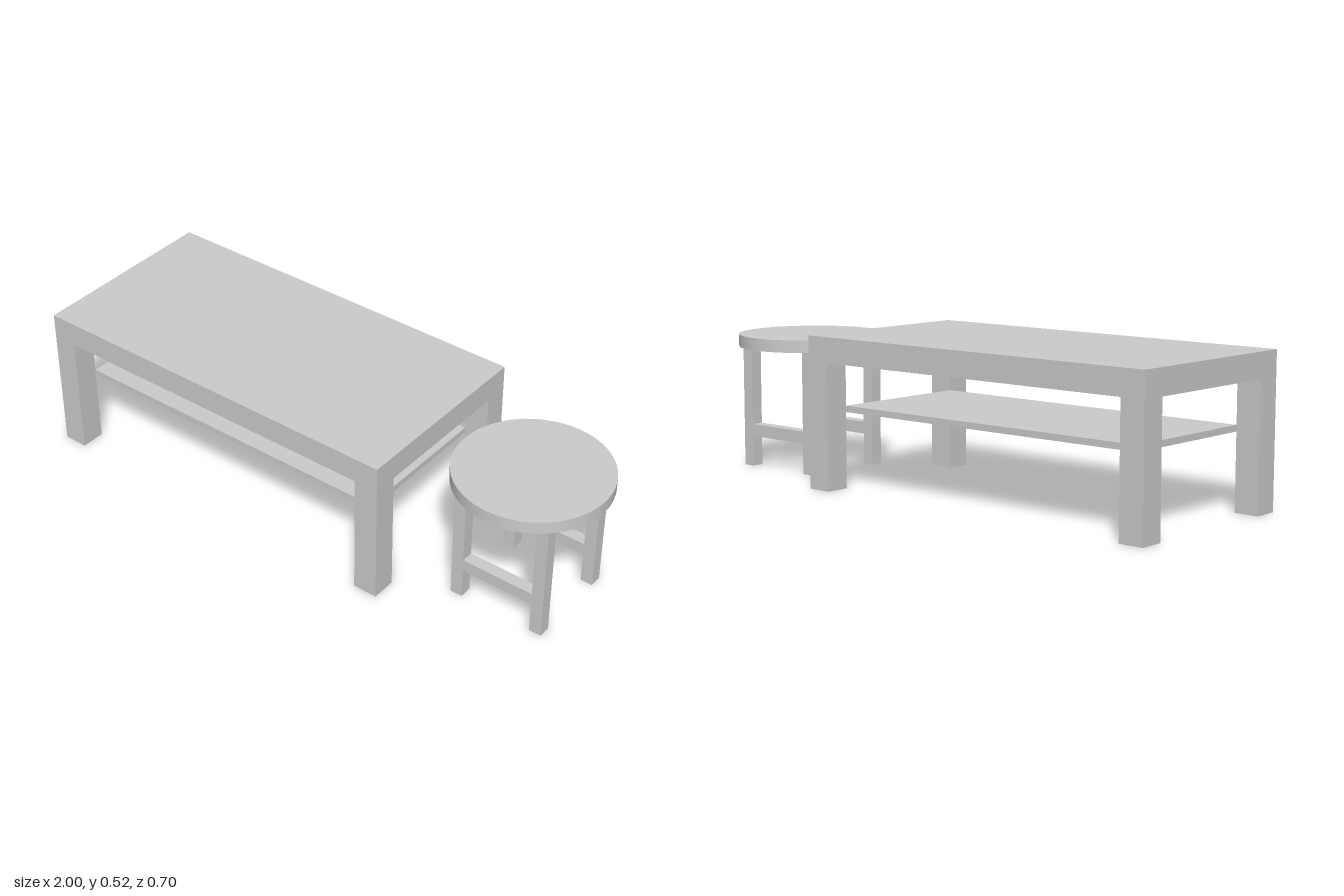
import * as THREE from 'three';

const U = 2 / 46; // module: every size is a multiple of this
const material = new THREE.MeshStandardMaterial({ color: 0xcccccc });

// Box given by its size and the centre of its base, in modules
function box(name, w, h, d, x, y, z) {
  const mesh = new THREE.Mesh(new THREE.BoxGeometry(w * U, h * U, d * U), material);
  mesh.name = name;
  mesh.position.set(x * U, (y + h / 2) * U, z * U);
  return mesh;
}

// Four square legs mirrored about the centre
function addLegs(group, name, width, height, x, z) {
  for (const sx of [-1, 1])
    for (const sz of [-1, 1]) group.add(box(name, width, height, width, sx * x, 0, sz * z));
}

function createTable() {
  const table = new THREE.Group();
  table.name = 'coffeeTable';
  table.add(box('tableTop', 32, 2, 16, 0, 10, 0));
  addLegs(table, 'tableLeg', 2, 10, 15, 7);
  // Thin shelf fitted between the inner corners of the legs
  table.add(box('shelf', 28, 0.5, 12, 0, 6, 0));
  table.position.x = -7 * U;
  return table;
}

function createStool() {
  const stool = new THREE.Group();
  stool.name = 'stool';
  const seat = new THREE.Mesh(new THREE.CylinderGeometry(6 * U, 6 * U, U, 64), material);
  seat.name = 'seat';
  seat.position.y = 10.5 * U;
  stool.add(seat);
  addLegs(stool, 'stoolLeg', 1, 10, 3.5, 3.5);
  // Front and back rails
  for (const s of [-1, 1]) stool.add(box('rail', 6, 1, 1, 0, 2.5, s * 3.5));
  stool.position.x = 17 * U;
  return stool;
}

export function createModel() {
  const model = new THREE.Group();
  model.name = 'tableAndStool';
  model.add(createTable(), createStool());
  return model;
}
